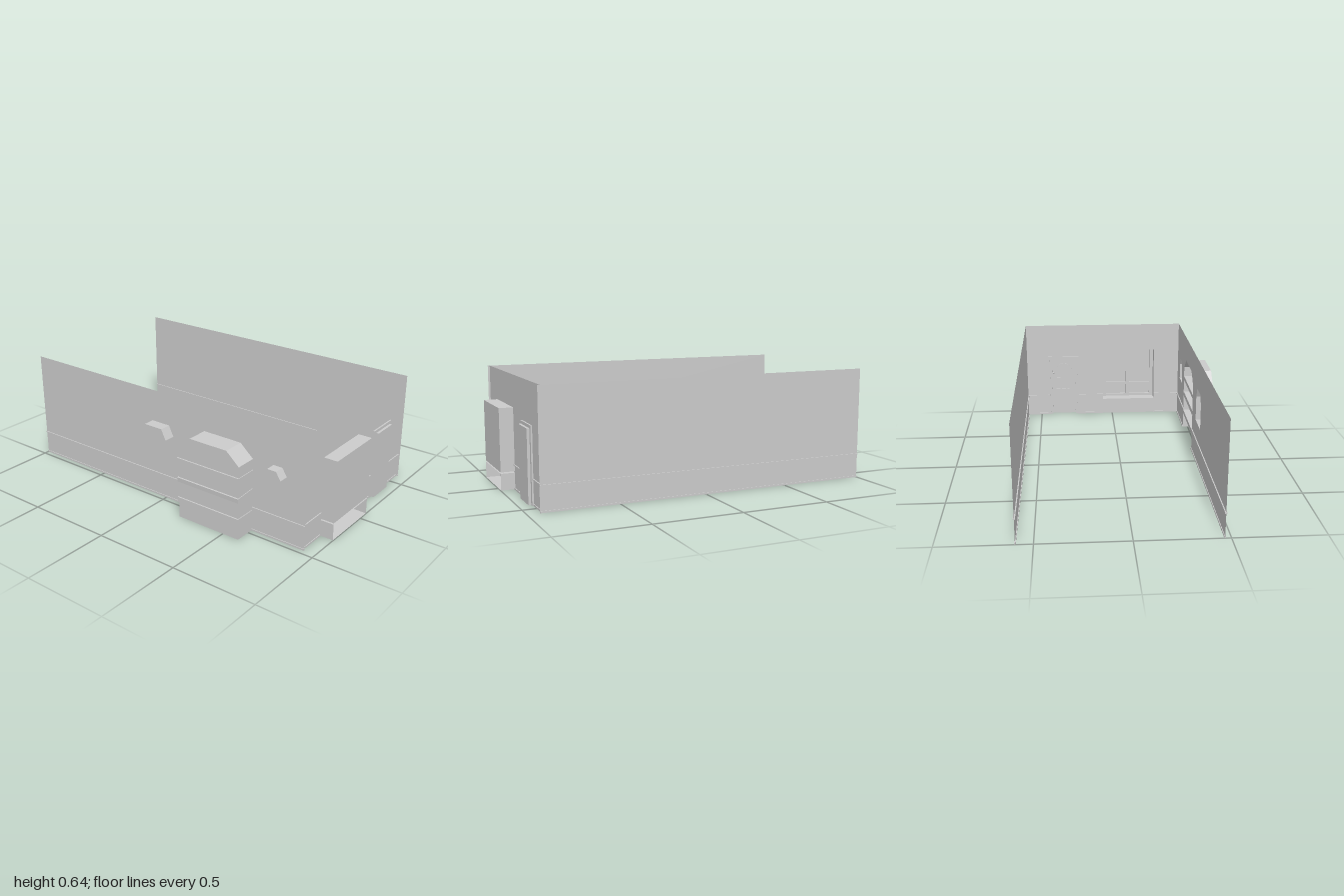
import * as THREE from 'three';
import { mergeGeometries } from 'three/addons/utils/BufferGeometryUtils.js';

const mat = new THREE.MeshStandardMaterial({ color: 0xcccccc, side: THREE.DoubleSide, flatShading: true });
const FRONT = 0.92, LEFT = 0.592, RIGHT = -0.467, BACK = -1, END = 0.932, TOP = 0.645;

const shapeOf = (pts) => new THREE.Shape(pts.map(([x, y]) => new THREE.Vector2(x, y)));

// Rectangle outline, starting and ending at the bottom
const rect = (x0, x1, y0, y1) => [[x0, y0], [x0, y1], [x1, y1], [x1, y0]];

// Niche outline with chamfered top corners
const arch = (x0, x1, y0, shoulder, top, cut) =>
  [[x0, y0], [x0, shoulder], [x0 + cut, top], [x1 - cut, top], [x1, shoulder], [x1, y0]];

// Walls of a recess swept along z from z0 to z1; closed adds the bottom side
function sides(pts, z0, z1, closed = true) {
  const pos = [];
  const n = closed ? pts.length : pts.length - 1;
  for (let i = 0; i < n; i++) {
    const [ax, ay] = pts[i], [bx, by] = pts[(i + 1) % pts.length];
    pos.push(ax, ay, z0, bx, by, z0, bx, by, z1, ax, ay, z0, bx, by, z1, ax, ay, z1);
  }
  const g = new THREE.BufferGeometry();
  g.setAttribute('position', new THREE.Float32BufferAttribute(pos, 3));
  g.computeVertexNormals();
  return g;
}

// Flat sheet at depth z, with optional holes
function sheet(pts, z, holes = []) {
  const s = shapeOf(pts);
  holes.forEach((h) => s.holes.push(shapeOf(h)));
  const g = new THREE.ShapeGeometry(s).toNonIndexed();
  g.deleteAttribute('uv');
  return g.translate(0, 0, z);
}

const recess = (pts, z0, z1, closed) => mergeGeometries([sides(pts, z0, z1, closed), sheet(pts, z1)]);

export function createModel() {
  const room = new THREE.Group();
  room.name = 'room';
  const add = (name, geo, parent = room) => {
    const m = new THREE.Mesh(geo, mat);
    m.name = name;
    parent.add(m);
    return m;
  };
  const box = (name, x0, x1, y0, y1, z0, z1, parent) => {
    const m = add(name, new THREE.BoxGeometry(x1 - x0, y1 - y0, z1 - z0), parent);
    m.position.set((x0 + x1) / 2, (y0 + y1) / 2, (z0 + z1) / 2);
    return m;
  };

  // Left wall: plain sheet
  const sideWall = new THREE.Group();
  sideWall.name = 'leftWall';
  sideWall.position.x = LEFT;
  sideWall.rotation.y = -Math.PI / 2;
  room.add(sideWall);
  add('leftWallSheet', sheet(rect(BACK, END, 0, TOP), 0), sideWall);

  // Right wall: two small niches and a tall alcove open to the floor
  const nicheWall = new THREE.Group();
  nicheWall.name = 'rightWall';
  nicheWall.position.x = RIGHT;
  nicheWall.rotation.y = -Math.PI / 2; // local x is world z, local z points outward
  room.add(nicheWall);
  const backNiche = arch(-0.12, 0.06, 0.25, 0.4, 0.46, 0.03);
  const frontNiche = arch(0.7, 0.81, 0.285, 0.385, 0.43, 0.028);
  const alcove = arch(0.2, 0.6, 0, 0.425, 0.495, 0.08);
  add('rightWallSheet', sheet(
    [[BACK, 0], ...alcove, [END, 0], [END, TOP], [BACK, TOP]], 0, [backNiche, frontNiche]), nicheWall);
  add('backNiche', recess(backNiche, 0, 0.066), nicheWall);
  add('frontNiche', recess(frontNiche, 0, 0.058), nicheWall);
  add('alcove', recess(alcove, 0, 0.124, false), nicheWall);

  // Alcove shelves, the middle one slightly tilted
  [[0.112, 0], [0.237, 0.07], [0.35, 0]].forEach(([y, tilt], i) => {
    const s = box('shelf' + (i + 1), -0.599, RIGHT, y - 0.013, y + 0.013, 0.196, 0.604);
    s.rotation.z = tilt;
  });

  // Front wall with door and window openings
  const door = rect(0.24, 0.44, 0, 0.42), leaf = rect(0.26, 0.42, 0, 0.403);
  const bay = rect(-0.295, 0.065, 0.105, 0.463);
  add('frontWall', sheet(
    [[RIGHT, 0], ...door, [LEFT, 0], [LEFT, TOP], [RIGHT, TOP]], FRONT, [bay]));

  // Window bay with frame bars on its inner face
  add('windowBay', recess(bay, FRONT, 1));
  [[-0.295, -0.27], [-0.127, -0.103], [0.04, 0.065]].forEach(([a, b]) =>
    box('windowPost', a, b, 0.106, 0.462, 0.982, 0.998));
  [[0.106, 0.122], [0.19, 0.208], [0.445, 0.462]].forEach(([a, b]) =>
    box('windowRail', -0.294, 0.064, a, b, 0.985, 0.998));

  // Open ledge space below the bay
  add('ledge', sides(rect(-0.295, 0.065, 0.003, 0.097), FRONT, 1));

  // Stepped door casing and door leaf
  add('doorCasing', mergeGeometries([
    sides(door, FRONT, 0.929, false),
    sheet([...door, ...leaf.slice().reverse()], 0.929),
  ]));
  add('doorLeaf', recess(leaf, 0.929, 0.944, false));
  // Inner casing trim
  box('casingTrim', 0.235, 0.245, 0, 0.425, 0.912, FRONT);
  box('casingTrim', 0.435, 0.445, 0, 0.425, 0.912, FRONT);
  box('casingTrim', 0.235, 0.445, 0.415, 0.425, 0.912, FRONT);

  // Arched light on the inside of the door
  const light = new THREE.Shape();
  light.moveTo(0.285, 0.255);
  light.lineTo(0.395, 0.255);
  light.lineTo(0.395, 0.315);
  light.absarc(0.34, 0.315, 0.055, 0, Math.PI, false);
  const pane = new THREE.Path();
  pane.moveTo(0.293, 0.263);
  pane.lineTo(0.387, 0.263);
  pane.lineTo(0.387, 0.315);
  pane.absarc(0.34, 0.315, 0.047, 0, Math.PI, false);
  light.holes.push(pane);
  add('doorLight', new THREE.ExtrudeGeometry(light, { depth: 0.006, bevelEnabled: false, curveSegments: 8 }))
    .position.z = 0.937;
  // Tall lower door panels and knob
  for (let i = 0; i < 3; i++) {
    const x = 0.288 + i * 0.039;
    box('doorPanel', x, x + 0.027, 0.055, 0.18, 0.937, 0.943);
  }
  add('doorKnob', new THREE.SphereGeometry(0.006, 8, 6)).position.set(0.411, 0.3, 0.935);

  // Dado rail and baseboard around the walls, broken at the openings
  [['dadoRail', 0.137, 0.144, 0.006], ['baseboard', 0, 0.01, 0.004]].forEach(([name, y0, y1, t]) => {
    box(name, LEFT - t, LEFT + t, y0, y1, BACK, END);
    [[BACK, 0.2], [0.6, END]].forEach(([a, b]) => box(name, RIGHT - t, RIGHT + t, y0, y1, a, b));
    [[RIGHT, -0.295], [0.065, 0.24], [0.44, LEFT]].forEach(([a, b]) =>
      box(name, a, b, y0, y1, FRONT - t, FRONT + t));
  });

  return room;
}
